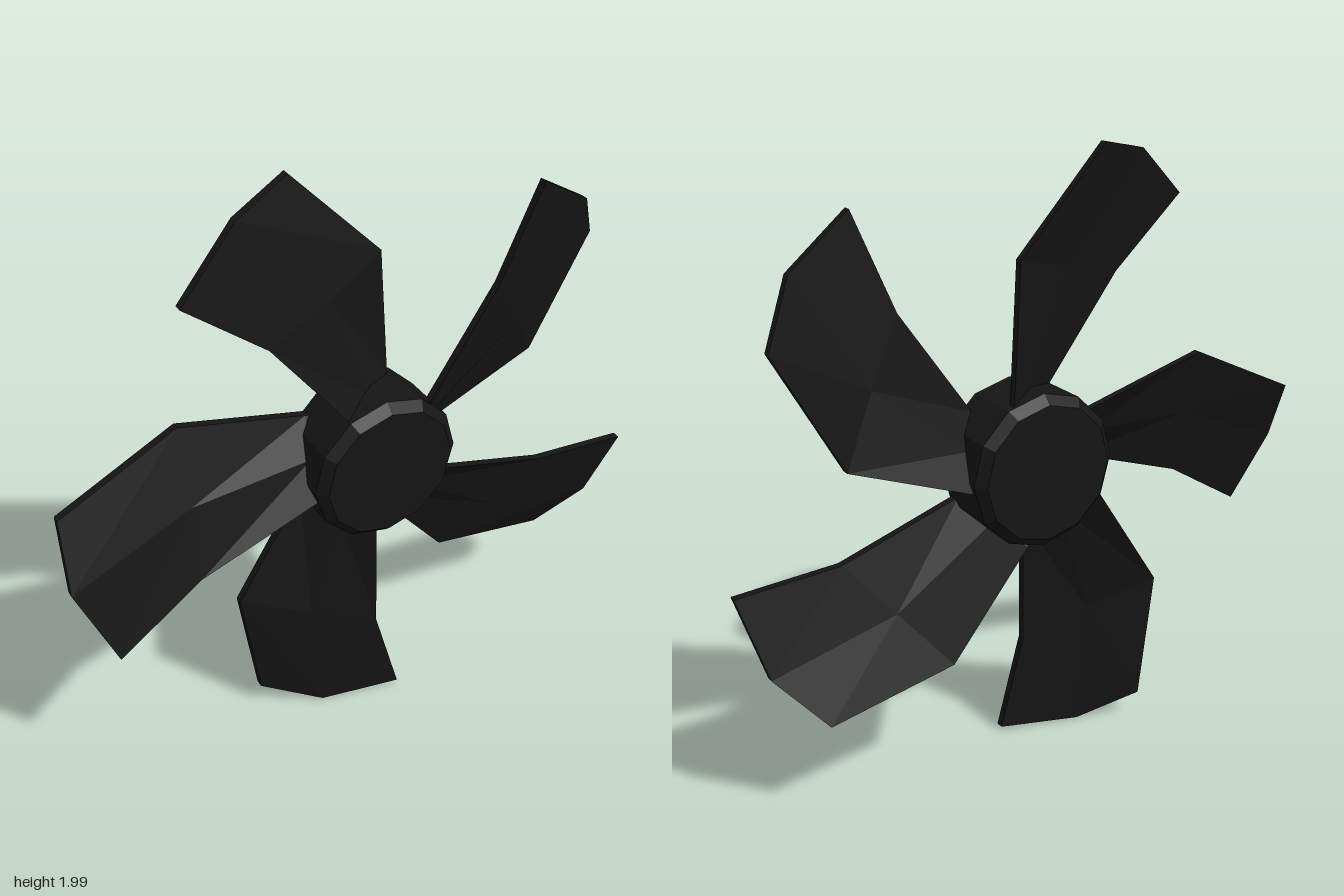
import * as THREE from 'three';

const BLADES = 5;
const HALF_THICKNESS = 0.013;

// Blade stations from root to tip; each row runs from the rear edge to the front edge
const STATIONS = [
  [[-0.15, -0.02, -0.08], [-0.09, -0.05, 0.0], [-0.028, -0.09, 0.075]],
  [[-0.22, -0.13, -0.08], [-0.125, -0.19, 0.0], [-0.026, -0.234, 0.075]],
  [[-0.455, -0.495, -0.08], [-0.235, -0.58, 0.005], [-0.02, -0.665, 0.068]],
  [[-0.4, -0.925, -0.08], [-0.205, -1.01, 0.012], [0.06, -0.995, 0.083]],
];

function bladeGeometry() {
  const positions = [];
  const at = (p, side) => [p[0], p[1], p[2] + side * HALF_THICKNESS];
  const quad = (a, b, c, d) => positions.push(...a, ...b, ...c, ...a, ...c, ...d);

  // Front and back skins
  for (let i = 0; i < STATIONS.length - 1; i++) {
    for (let j = 0; j < 2; j++) {
      const corners = [
        STATIONS[i][j], STATIONS[i + 1][j], STATIONS[i + 1][j + 1], STATIONS[i][j + 1],
      ];
      quad(...corners.map((p) => at(p, 1)));
      quad(...corners.map((p) => at(p, -1)).reverse());
    }
  }

  // Rim around the outline
  const rim = [
    ...STATIONS.map((row) => row[0]),
    STATIONS[3][1],
    ...STATIONS.map((row) => row[2]).reverse(),
    STATIONS[0][1],
  ];
  rim.forEach((p, k) => {
    const q = rim[(k + 1) % rim.length];
    quad(at(p, -1), at(q, -1), at(q, 1), at(p, 1));
  });

  const geometry = new THREE.BufferGeometry();
  geometry.setAttribute('position', new THREE.Float32BufferAttribute(positions, 3));
  geometry.computeVertexNormals();
  return geometry;
}

export function createModel() {
  const model = new THREE.Group();
  model.name = 'fan';
  const material = new THREE.MeshStandardMaterial({ color: 0x151515, flatShading: true });

  const rotor = new THREE.Group();
  rotor.name = 'rotor';
  rotor.position.set(0.025, 1.015, 0);
  model.add(rotor);

  // Twelve-sided hub with chamfered rims
  const profile = [
    [0, -0.13], [0.222, -0.13], [0.252, -0.1], [0.252, 0.1], [0.222, 0.13], [0, 0.13],
  ].map(([r, y]) => new THREE.Vector2(r, y));
  const hub = new THREE.Mesh(new THREE.LatheGeometry(profile, 12), material);
  hub.name = 'hub';
  hub.rotation.x = Math.PI / 2;
  rotor.add(hub);

  // Pitched, swept blades
  const blade = bladeGeometry();
  for (let i = 0; i < BLADES; i++) {
    const mesh = new THREE.Mesh(blade, material);
    mesh.name = `blade${i + 1}`;
    mesh.rotation.z = (i * Math.PI * 2) / BLADES;
    rotor.add(mesh);
  }
  return model;
}
